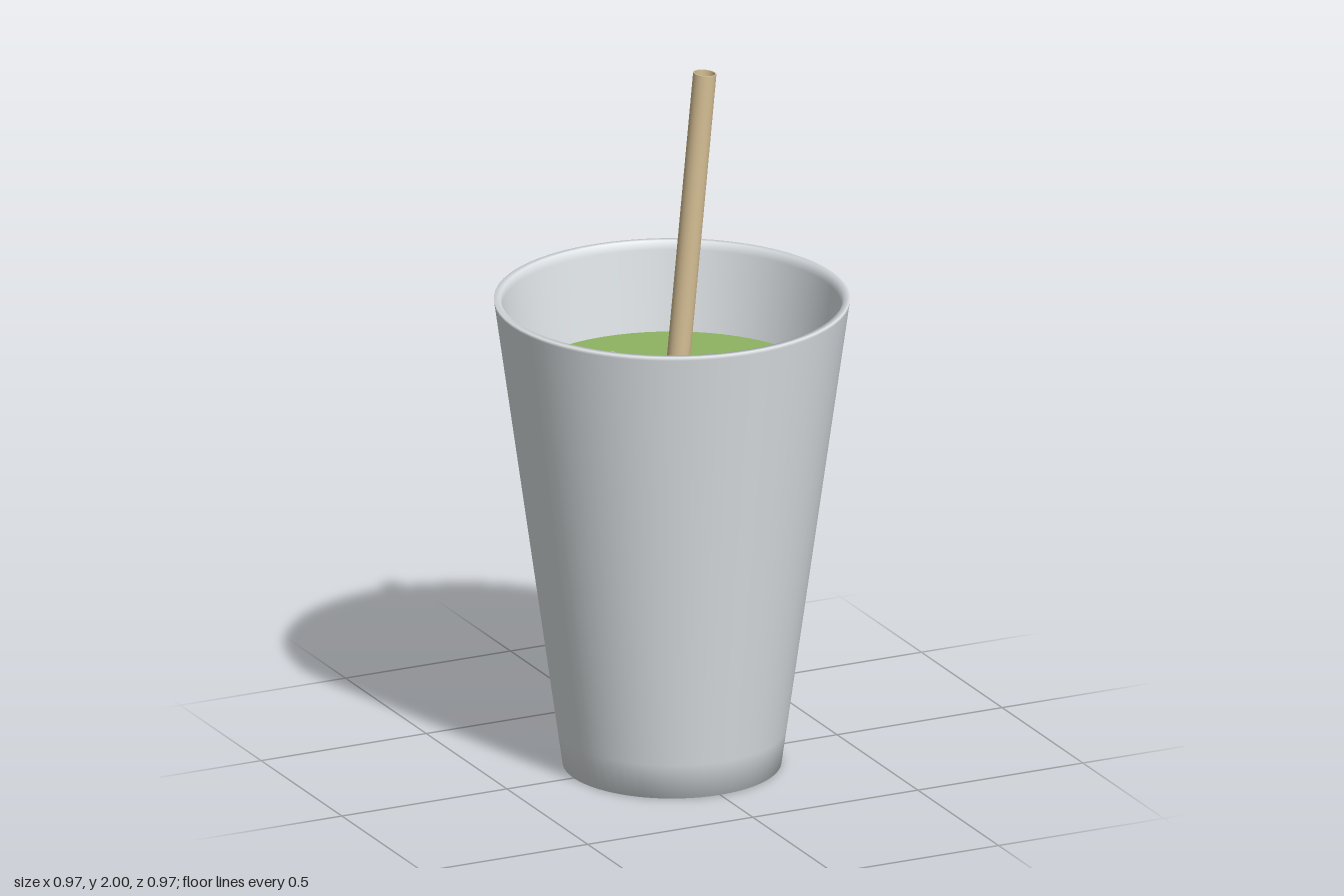
import * as THREE from 'three';
import { RoundedBoxGeometry } from 'three/addons/geometries/RoundedBoxGeometry.js';

export function createModel() {
  const model = new THREE.Group();
  const material = (name, color) => {
    const m = new THREE.MeshStandardMaterial({ color });
    m.name = name;
    return m;
  };
  const cupGrey = material('cup grey', 0xdde2e5);
  const drinkGreen = material('drink green', 0x8fb361);
  const strawTan = material('straw tan', 0xd4bd93);
  const iceWhite = material('ice white', 0xe0e4e8);

  const add = (name, geometry, mat, parent = model) => {
    const mesh = new THREE.Mesh(geometry, mat);
    mesh.name = name;
    parent.add(mesh);
    return mesh;
  };
  const lathe = (points, sides) =>
    new THREE.LatheGeometry(points.map(([r, y]) => new THREE.Vector2(r, y)), sides);

  // Tapered cup with a softly shaded foot, thin rim and inner wall
  add('cup', lathe([
    [0, 0], [0.25, 0], [0.298, 0], [0.312, 0.1], [0.4835, 1.33], [0.485, 1.34],
    [0.467, 1.34], [0.463, 1.315], [0.291, 0.08], [0.27, 0.05], [0, 0.05],
  ], 64), cupGrey);

  // Drink filling the cup
  const level = 1.09;
  add('drink', new THREE.CylinderGeometry(0.43, 0.286, level - 0.06, 64)
    .translate(0, (level + 0.06) / 2, 0), drinkGreen);

  // Hollow straw, leaning toward +x
  const length = 1.88, lean = 0.098;
  const straw = add('straw', lathe([
    [0.029, -length], [0.032, -length], [0.032, 0], [0.032, 0],
    [0.028, 0], [0.028, 0], [0.028, -length], [0.029, -length],
  ], 32), strawTan);
  straw.position.set(0.071, 1.997, 0.058);
  straw.rotation.z = -lean;

  // Ice cubes: x, top height above the drink, z, then tilt x, turn y, tilt z
  const size = 0.2;
  const ice = new THREE.Group();
  ice.name = 'iceCubes';
  model.add(ice);
  [
    [-0.17, 0.06, -0.06, 0.04, 0.14, 0.08],
    [-0.068, 0.03, -0.01, 0.06, 0.52, -0.06],
    [-0.115, 0.004, 0.15, 0.28, 0.08, 0],
    [0.135, 0.05, 0.215, -0.05, 0.56, 0.04],
  ].forEach(([x, top, z, rx, ry, rz], i) => {
    const cube = add('iceCube' + (i + 1), new RoundedBoxGeometry(size, size, size, 4, 0.03), iceWhite, ice);
    cube.position.set(x, level + top - size / 2, z);
    cube.rotation.set(rx, ry, rz);
  });

  return model;
}
